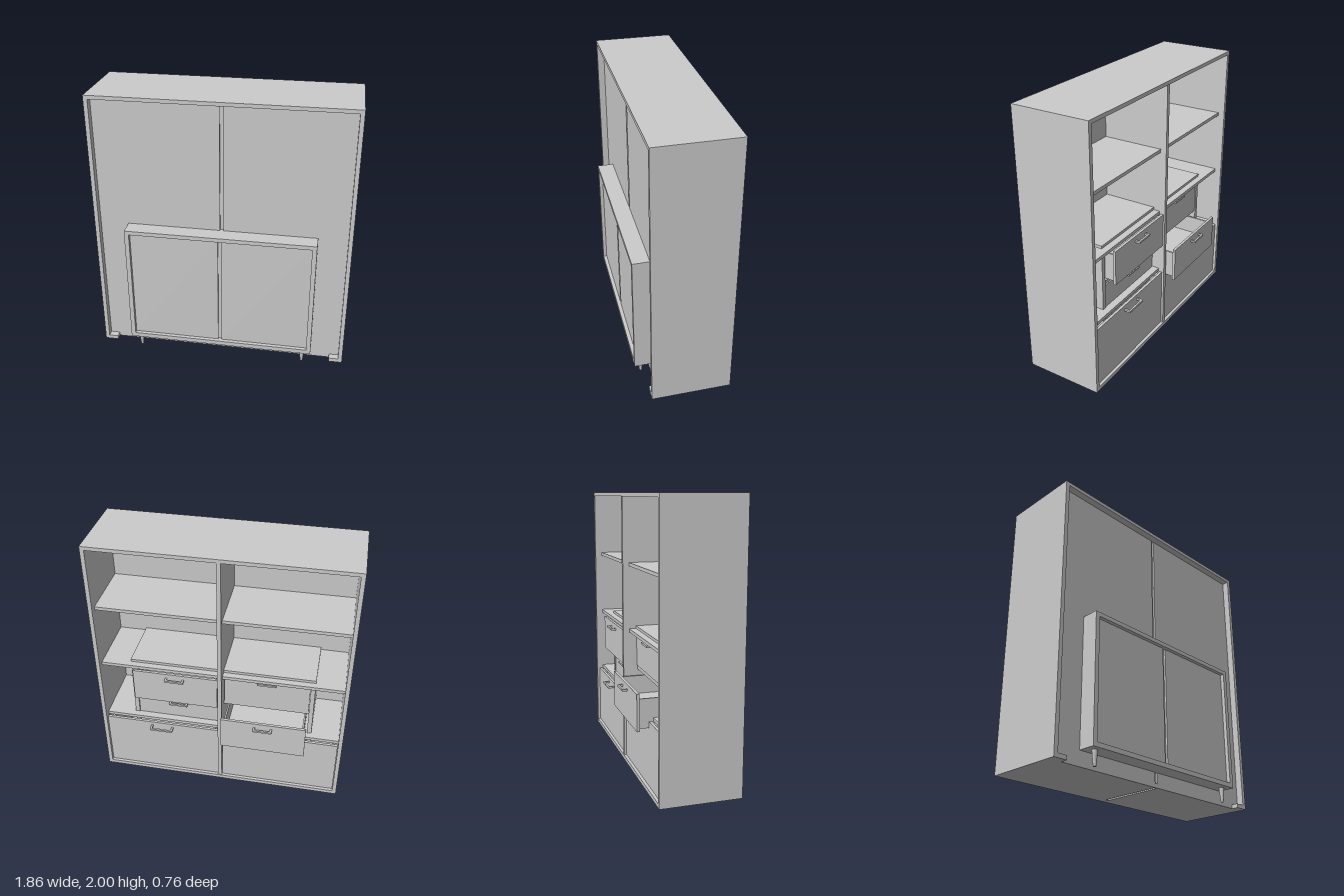
import * as THREE from 'three';

const material = new THREE.MeshStandardMaterial({ color: 0xcccccc, flatShading: true, side: THREE.DoubleSide });

// Box given by its limits on each axis
function board(parent, name, x0, x1, y0, y1, z0, z1) {
  const mesh = new THREE.Mesh(new THREE.BoxGeometry(x1 - x0, y1 - y0, z1 - z0), material);
  mesh.position.set((x0 + x1) / 2, (y0 + y1) / 2, (z0 + z1) / 2);
  mesh.name = name;
  parent.add(mesh);
  return mesh;
}

// Bracket pull: a bar on two posts, reaching out towards -z
function addHandle(parent, x, y, z, width, reach) {
  const handle = new THREE.Group();
  handle.name = 'handle';
  const w = width / 2, t = 0.014;
  board(handle, 'handleBar', -w, w, -t / 2, t / 2, -reach, -reach + t);
  for (const s of [-1, 1]) {
    const c = s * (w - t / 2);
    board(handle, 'handlePost', c - t / 2, c + t / 2, -t / 2, t / 2, -reach + t, 0);
  }
  handle.position.set(x, y, z);
  parent.add(handle);
}

// Open-topped drawer whose front panel starts at z
function addDrawer(parent, name, x0, x1, y0, y1, z, depth, handleWidth, handleReach, handleDrop) {
  const drawer = new THREE.Group();
  drawer.name = name;
  const f = 0.02, t = 0.012, a = x0 + 0.018, b = x1 - 0.018;
  const low = y0 + 0.015, high = y1 - 0.04, back = z + depth;
  board(drawer, 'drawerFront', x0, x1, y0, y1, z, z + f);
  board(drawer, 'drawerSide', a, a + t, low, high, z + f, back);
  board(drawer, 'drawerSide', b - t, b, low, high, z + f, back);
  board(drawer, 'drawerBack', a + t, b - t, low, high, back - t, back);
  board(drawer, 'drawerBottom', a + t, b - t, low, low + t, z + f, back - t);
  addHandle(drawer, (x0 + x1) / 2, y1 - handleDrop, z, handleWidth, handleReach);
  parent.add(drawer);
}

// Floor with a notch along +z and a slot under the divider
function addFloor(parent) {
  const shape = new THREE.Shape([
    [-0.9, -0.275], [0.9, -0.275], [0.9, 0.305], [0.83, 0.305],
    [0.83, 0.255], [-0.83, 0.255], [-0.83, 0.305], [-0.9, 0.305],
  ].map(([x, z]) => new THREE.Vector2(x, z)));
  shape.holes.push(new THREE.Path([
    [-0.012, -0.225], [-0.012, 0.24], [0.012, 0.24], [0.012, -0.225],
  ].map(([x, z]) => new THREE.Vector2(x, z))));
  const geometry = new THREE.ExtrudeGeometry(shape, { depth: 0.03, bevelEnabled: false });
  geometry.rotateX(Math.PI / 2);
  const floor = new THREE.Mesh(geometry, material);
  floor.position.y = 0.03;
  floor.name = 'cabinetFloor';
  parent.add(floor);
}

function createCabinet() {
  const cabinet = new THREE.Group();
  cabinet.name = 'bookcase';
  const z0 = -0.275, z1 = 0.305;
  board(cabinet, 'cabinetTop', -0.93, 0.93, 1.973, 2, z0, z1);
  addFloor(cabinet);
  board(cabinet, 'cabinetDivider', -0.015, 0.015, 0.03, 1.973, z0 + 0.005, 0.24);
  for (const s of [-1, 1]) {
    const span = (a, b) => (s > 0 ? [a, b] : [-b, -a]);
    board(cabinet, 'cabinetSide', ...span(0.9, 0.93), 0, 1.973, z0, z1);
    board(cabinet, 'backPanel', ...span(0.012, 0.9), 0.03, 1.973, 0.24, 0.255);
    for (const y of [0.52, 1.01, 1.5])
      board(cabinet, 'shelf', ...span(0.015, 0.9), y - 0.025, y, -0.225, 0.24);
    addDrawer(cabinet, 'largeDrawer', ...span(0.018, 0.897), 0.033, 0.495, -0.255, 0.45, 0.175, 0.05, 0.035);
  }
  return cabinet;
}

function createChest() {
  const chest = new THREE.Group();
  chest.name = 'chestOfDrawers';
  const z0 = -0.175, z1 = 0.378;
  board(chest, 'chestTop', -0.69, 0.69, 1, 1.03, z0, z1);
  board(chest, 'chestBottom', -0.69, 0.69, 0.105, 0.138, z0, z1);
  board(chest, 'chestDivider', -0.014, 0.014, 0.138, 1, z0, 0.335);
  for (const s of [-1, 1]) {
    const span = (a, b) => (s > 0 ? [a, b] : [-b, -a]);
    board(chest, 'chestSide', ...span(0.657, 0.69), 0.138, 1, z0, z1);
    board(chest, 'chestBackPanel', ...span(0.012, 0.657), 0.138, 1, 0.335, 0.35);
    for (const y of [0.407, 0.702])
      board(chest, 'chestRail', ...span(0.014, 0.657), y, y + 0.026, z0 + 0.01, 0.335);

    // Two drawers are pulled out, the others stay shut
    [0.142, 0.435, 0.732].forEach((y, row) => {
      const pull = s < 0 && row === 1 ? 0.175 : s > 0 && row === 2 ? 0.09 : 0;
      addDrawer(chest, 'smallDrawer', ...span(0.02, 0.654), y, y + 0.262, -0.17 - pull, 0.48, 0.14, 0.037, 0.04);
    });

    // Tapered legs
    for (const z of [-0.11, 0.322]) {
      const leg = new THREE.Mesh(new THREE.CylinderGeometry(0.02, 0.01, 0.105, 16), material);
      leg.position.set(s * 0.625, 0.0525, z);
      leg.name = 'leg';
      chest.add(leg);
    }
  }
  return chest;
}

export function createModel() {
  const model = new THREE.Group();
  model.name = 'storageCabinet';
  model.add(createCabinet(), createChest());
  // Centre the depth, from the pulled handle to the chest back
  const box = new THREE.Box3().setFromObject(model);
  model.children.forEach((part) => { part.position.z -= (box.min.z + box.max.z) / 2; });
  return model;
}
